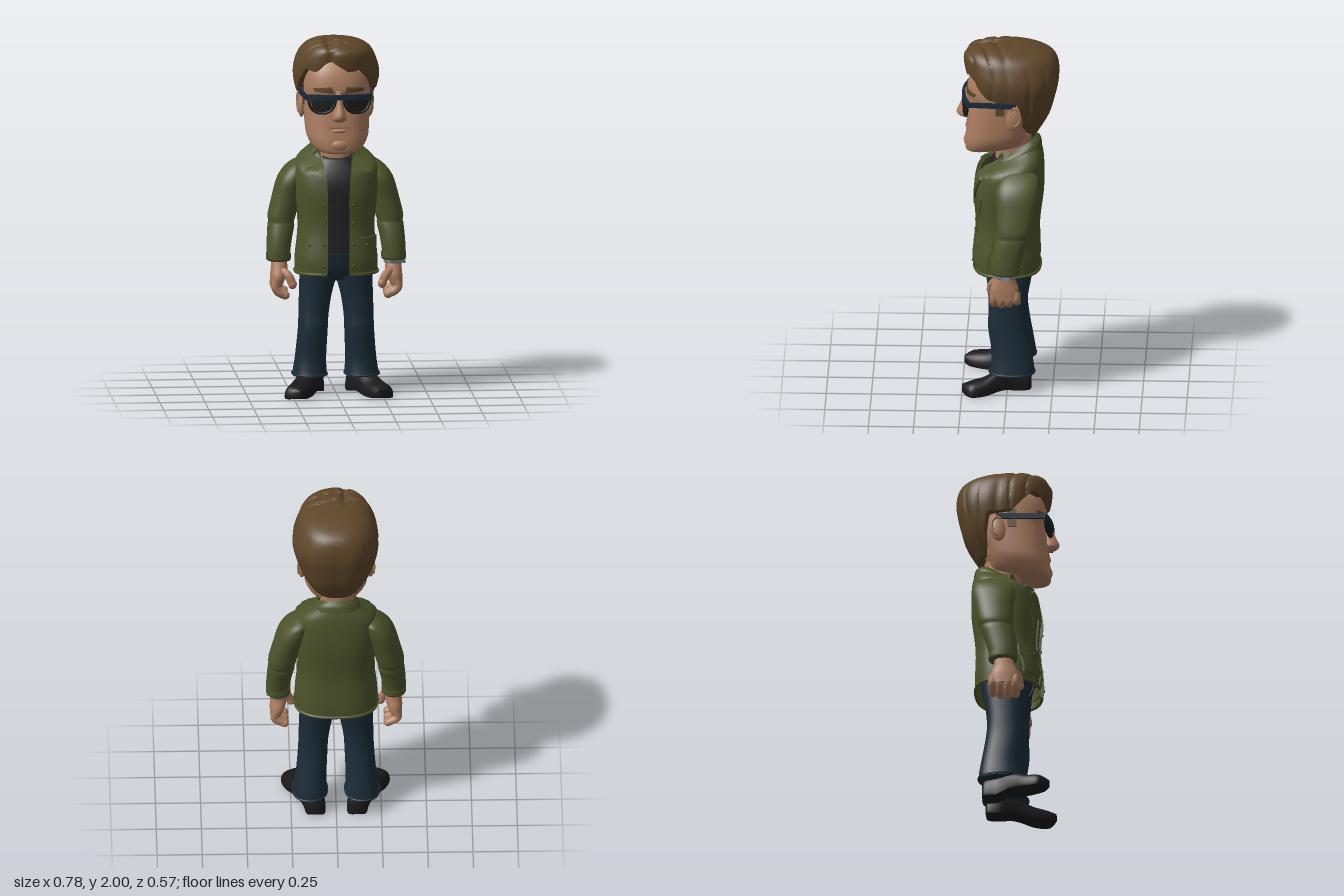
import * as THREE from 'three';
import { toCreasedNormals } from 'three/addons/utils/BufferGeometryUtils.js';

const V = (x, y, z) => new THREE.Vector3(x, y, z);
const mat = (name, color) => Object.assign(new THREE.MeshStandardMaterial({ color }), { name });

// Skin rows of points into a surface (closed rings get end caps).
function grid(rows, closed = true, crease = 0.8) {
  const n = rows[0].length, pos = [], idx = [];
  rows.flat().forEach(p => pos.push(p.x, p.y, p.z));
  for (let i = 0; i < rows.length - 1; i++)
    for (let j = 0; j < (closed ? n : n - 1); j++) {
      const a = i * n + j, b = i * n + (j + 1) % n;
      idx.push(a, b, a + n, b, b + n, a + n);
    }
  if (closed) [0, rows.length - 1].forEach(r => {
    const c = rows[r].reduce((s, p) => s.add(p), V(0, 0, 0)).divideScalar(n), k = pos.length / 3;
    pos.push(c.x, c.y, c.z);
    for (let j = 0; j < n; j++) {
      const a = r * n + j, b = r * n + (j + 1) % n;
      r ? idx.push(k, a, b) : idx.push(k, b, a);
    }
  });
  const g = new THREE.BufferGeometry();
  g.setAttribute('position', new THREE.Float32BufferAttribute(pos, 3));
  g.setIndex(idx);
  return toCreasedNormals(g, crease);
}

// Cross-section: [y, halfWidth, zFront, zBack, backTilt, frontGap, xCentre]
const spow = (v, e) => Math.sign(v) * Math.abs(v) ** e;
function ringPoint([y, rx, zf, zb, tilt = 0, , cx = 0], a, p) {
  const c = spow(Math.cos(a), 2 / p);
  return V(cx + rx * spow(Math.sin(a), 2 / p), y - tilt * c, (zf + zb) / 2 + (zf - zb) / 2 * c);
}
// Smooth in-between sections.
function dense(secs, k = 4) {
  const out = [], at = i => secs[Math.min(Math.max(i, 0), secs.length - 1)];
  for (let i = 0; i < secs.length - 1; i++)
    for (let s = 0; s < k; s++) {
      const t = s / k;
      out.push(secs[i].map((b, c) => {
        const a = at(i - 1)[c], d = at(i + 1)[c], e = at(i + 2)[c];
        return b + 0.5 * t * (d - a + t * (2 * a - 5 * b + 4 * d - e + t * (3 * (b - d) + e - a)));
      }));
    }
  return [...out, secs[secs.length - 1]];
}
function ring(s, p, n) {
  const g = s[5] || 0, a0 = g ? Math.asin((g / s[1]) ** (p / 2)) : 0;
  return Array.from({ length: g ? n + 1 : n }, (_, j) => ringPoint(s, a0 + (2 * Math.PI - 2 * a0) * j / n, p));
}
const loft = (secs, p = 2.4, n = 32) => grid(dense(secs).map(s => ring(s, p, n)), !secs[0][5]);

// Section at a height, and the depth of a loft's front at (x, y).
function lookup(secs, y, key = s => s[0]) {
  if (y <= key(secs[0])) return secs[0];
  const i = secs.findIndex(s => key(s) > y);
  if (i < 0) return secs[secs.length - 1];
  const a = secs[i - 1], b = secs[i], t = (y - key(a)) / (key(b) - key(a));
  return a.map((v, c) => v + (b[c] - v) * t);
}
const frontOf = (secs, p) => (x, y) => {
  const [, rx, zf, zb] = lookup(secs, y, s => s[0] - (s[4] || 0));
  const u = Math.min(Math.abs(x) / rx, 0.97);
  return (zf + zb) / 2 + (zf - zb) / 2 * (1 - u ** p) ** (1 / p);
};
// Quad plate hugging a front surface; corners run counter-clockwise for side +1.
function patch(front, corners, depth, s = 1) {
  let [a, b, c, d] = corners.map(([x, y]) => [x * s, y]);
  if (s < 0) [a, b, c, d] = [b, a, d, c];
  const g = new THREE.BoxGeometry(1, 1, 1, 8, 8, 1), q = g.attributes.position;
  for (let i = 0; i < q.count; i++) {
    const u = q.getX(i) + 0.5, v = q.getY(i) + 0.5;
    const m = k => (a[k] * (1 - u) + b[k] * u) * (1 - v) + (d[k] * (1 - u) + c[k] * u) * v;
    q.setXYZ(i, m(0), m(1), front(m(0), m(1)) + q.getZ(i) * 2 * depth);
  }
  g.computeVertexNormals();
  return g;
}
const rect = (x0, x1, y0, y1) => [[x0, y0], [x1, y0], [x1, y1], [x0, y1]];
const tube = (pts, r, closed = false, n = 24) =>
  new THREE.TubeGeometry(new THREE.CatmullRomCurve3(pts, closed), n, r, 8, closed);

export function createModel() {
  const model = new THREE.Group();
  const skin = mat('skin', 0xac7d60), lip = mat('lip', 0x8f624c), hair = mat('hair', 0x5e4629);
  const olive = mat('olive cloth', 0x4d532c), trim = mat('olive trim', 0x414824);
  const shirt = mat('charcoal cloth', 0x222224), denim = mat('denim', 0x1c2c38);
  const black = mat('black', 0x1a1a1c), frame = mat('navy frame', 0x1b2a39), metal = mat('metal', 0x8b9099);
  olive.side = THREE.DoubleSide;
  const add = (name, geo, m) => {
    const o = new THREE.Mesh(geo, m);
    o.name = name;
    model.add(o);
    return o;
  };
  const ball = (name, m, x, y, z, rx, ry, rz) => {
    const o = add(name, new THREE.SphereGeometry(1, 20, 14), m);
    o.position.set(x, y, z);
    o.scale.set(rx, ry, rz);
    return o;
  };

  // Head and neck
  const headSecs = [[1.39, .09, .215, -.06, .015], [1.405, .135, .236, -.09, .02], [1.46, .168, .238, -.11, .02],
    [1.52, .177, .23, -.13, .01], [1.6, .181, .222, -.16, 0], [1.68, .184, .213, -.18, 0], [1.735, .186, .225, -.19, 0],
    [1.82, .18, .21, -.2, 0], [1.9, .14, .17, -.17, 0]];
  const face = frontOf(dense(headSecs), 2.6);
  add('head', loft(headSecs, 2.6, 40), skin);
  add('neck', loft([[1.25, .1, .08, -.14], [1.36, .088, .07, -.13], [1.48, .095, .08, -.13]]), skin);
  add('nose', loft([[1.557, .022, .245, .17], [1.572, .04, .276, .17], [1.595, .035, .286, .17],
    [1.65, .024, .262, .17], [1.73, .022, .236, .17]], 2, 20), skin);
  add('mouth', patch(face, [[-.06, 1.52], [.06, 1.52], [.056, 1.526], [-.056, 1.526]], .004), lip);
  ball('lowerLip', skin, 0, 1.506, .222, .045, .013, .016);
  ball('chin', skin, 0, 1.425, .215, .06, .038, .032);

  // Hair: swept from a front parting down to a hairline that varies with the angle
  const volume = dense([[1.48, .12, .1, -.165, 0, 0, 0], [1.6, .185, .14, -.235, 0, 0, 0], [1.7, .222, .19, -.267, 0, 0, 0],
    [1.8, .24, .225, -.288, 0, 0, .003], [1.89, .22, .245, -.28, 0, 0, 0], [1.95, .183, .24, -.24, 0, 0, 0],
    [1.985, .12, .18, -.14, 0, 0, -.01], [2.003, .005, 0, -.01, 0, 0, -.05]]);
  const hairline = [[0, 1.9], [9, 1.875], [20, 1.835], [30, 1.84], [38, 1.85], [52, 1.785], [64, 1.725], [98, 1.715], [106, 1.55], [125, 1.5], [180, 1.49]];
  const hairRows = [];
  for (let i = 0; i <= 51; i++) {
    const row = [];
    for (let j = 0; j < 160; j++) {
      const a = (j / 160 * 2 - 1) * Math.PI, t = Math.min(i / 50, 1), swung = a - .1 * (1 + Math.cos(a));
      const low = lookup(hairline, Math.abs(a) * 180 / Math.PI)[1];
      const s = lookup(volume, 2.003 - (2.003 - low) * t ** 1.8), p = ringPoint(s, swung, 2.3);
      const cz = (s[2] + s[3]) / 2, side = Math.abs(p.x + .05);
      const sweep = THREE.MathUtils.smoothstep(p.z, -.06, .06);
      const crease = sweep * (1 - Math.abs(Math.sin(38 * (p.z + .3 * side)))) ** 2;
      const strand = (1 - sweep) * (1 - Math.abs(Math.sin(a * 5 + 1.2 * Math.sin(a * 3)))) ** 2;
      const part = Math.exp(-((side / .022) ** 2)) * THREE.MathUtils.smoothstep(p.z, -.04, .1);
      const fade = THREE.MathUtils.smoothstep(t, .25, .75);
      const k = i > 50 ? .78 : 1 - fade * (.04 * crease + .04 * strand + .05 * part);
      p.set(p.x * k, p.y - (1 - fade) * (.012 * crease + .022 * part), cz + (p.z - cz) * k);
      row.push(p);
    }
    hairRows.unshift(row);
  }
  add('hair', grid(hairRows, true, .6), hair);

  // Ears, brows, sideburns and glasses
  const lensZ = x => .247 - .9 * x * x;
  for (const s of [1, -1]) {
    ball('ear', skin, .19 * s, 1.62, -.04, .022, .075, .043).rotation.x = -.15;
    const rim = add('earRim', new THREE.TorusGeometry(.036, .008, 8, 20), skin);
    rim.position.set(.204 * s, 1.632, -.042);
    rim.rotation.y = Math.PI / 2 - .2 * s;
    rim.scale.set(.85, 1.45, .8);
    add('eyebrow', patch(face, [[.03, 1.716], [.135, 1.725], [.145, 1.742], [.04, 1.752]], .007, s), hair);
    const burn = add('sideburn', new THREE.BoxGeometry(.02, .11, .05), hair);
    burn.position.set(.177 * s, 1.685, .04);
    const outline = [[.026, 1.685], [.04, 1.635], [.072, 1.613], [.125, 1.613], [.157, 1.637], [.168, 1.69], [.1, 1.7]];
    add('lens', patch(lensZ, [[.056, 1.614], [.14, 1.614], [.166, 1.69], [.026, 1.69]], .004, s), black);
    add('lensRim', tube(outline.map(([x, y]) => V(x * s, y, lensZ(x))), .008, true, 40), black);
    const temple = add('temple', new THREE.BoxGeometry(.014, .028, .27), frame);
    temple.position.set(.189 * s, 1.692, .085);
    temple.rotation.y = -.09 * s;
  }
  add('browBar', patch(lensZ, rect(-.184, .184, 1.682, 1.712), .009), frame);

  // Shirt and jacket
  add('shirt', loft([[.76, .19, .145, -.14, 0], [.95, .185, .142, -.14, 0], [1.15, .195, .148, -.16, 0],
    [1.25, .19, .13, -.16, .01], [1.33, .12, .095, -.14, .02], [1.355, .1, .083, -.135, .03]], 2.6), shirt);
  const jacketSecs = [[.69, .228, .185, -.178, 0, .07, 0], [.78, .228, .19, -.18, 0, .068, 0], [.95, .212, .172, -.177, 0, .062, 0],
    [1.13, .23, .182, -.198, 0, .06, 0], [1.25, .235, .163, -.2, 0, .068, 0], [1.31, .215, .135, -.195, .03, .075, 0],
    [1.35, .155, .11, -.18, .05, .08, 0], [1.375, .118, .088, -.165, .06, .082, 0], [1.39, .105, .075, -.155, .06, .08, 0]];
  const coat = frontOf(dense(jacketSecs), 2.6);
  add('jacket', loft(jacketSecs, 2.6, 48), olive);
  add('hemTrim', tube(ring(jacketSecs[0], 2.6, 40), .009, false, 60), olive);
  add('collarStand', loft([[1.352, .142, .1, -.188, .05, .1, 0], [1.38, .128, .085, -.178, .06, .1, 0],
    [1.4, .1, .06, -.152, .06, .085, 0]], 2.4, 40), olive);
  for (const s of [1, -1]) {
    add('placket', patch(coat, rect(.06, .095, .695, 1.1), .009, s), olive);
    add('lapel', patch(coat, [[.058, 1.07], [.15, 1.235], [.12, 1.275], [.078, 1.3]], .012, s), olive);
    add('collarWing', patch(coat, [[.076, 1.295], [.13, 1.262], [.19, 1.262], [.1, 1.385]], .02, s), olive);
    add('pocket', patch(coat, rect(.108, .212, .735, .86), .01, s), olive);
    add('pocketFlap', patch(coat, rect(.11, .218, .835, .895), .017, s), olive);
    add('chestPocket', patch(coat, [[.115, 1.04], [.14, 1.03], [.175, 1.13], [.15, 1.14]], .007, s), olive);
    const spots = [.74, .86, .98, 1.08].map(y => [.08, y, .008]).concat([[.16, .855, .016]]);
    for (const [x, y, lift] of spots) ball('button', trim, x * s, y, coat(x, y) + lift, .009, .009, .007);

    // Sleeves with a crease at the elbow and a sloping shoulder
    add('sleeve', loft([[.76, .064, .078, -.074, 0, 0, .32 * s], [.8, .066, .082, -.078, 0, 0, .321 * s],
      [.88, .07, .075, -.1, 0, 0, .313 * s], [.94, .074, .062, -.122, 0, 0, .304 * s], [.965, .071, .056, -.126, 0, 0, .302 * s],
      [1, .078, .057, -.14, 0, 0, .298 * s], [1.1, .077, .058, -.16, 0, 0, .275 * s], [1.19, .078, .065, -.178, 0, 0, .249 * s],
      [1.245, .07, .05, -.178, 0, 0, .226 * s], [1.285, .05, .02, -.165, 0, 0, .203 * s], [1.31, .025, -.03, -.11, 0, 0, .188 * s]],
    2.3, 28), olive);
    add('cuff', loft([[.75, .062, .076, -.072, 0, 0, .32 * s], [.757, .068, .082, -.078, 0, 0, .32 * s],
      [.79, .069, .083, -.079, 0, 0, .32 * s]], 2.3, 28), olive);

    // Hands
    add('palm', loft([[.605, .032, .08, -.064, 0, 0, .334 * s], [.66, .043, .088, -.068, 0, 0, .324 * s],
      [.71, .046, .072, -.052, 0, 0, .317 * s], [.77, .042, .05, -.045, 0, 0, .318 * s]], 2.4, 24), skin);
    for (let f = 0; f < 4; f++) {
      const z = .07 - f * .042, drop = [.008, 0, .004, .018][f];
      add('finger', tube([V(.335 * s, .65, z), V(.341 * s, .605, z), V(.322 * s, .572 + drop, z), V(.288 * s, .555 + drop, z)], .023, false, 14), skin);
      ball('fingertip', skin, .286 * s, .554 + drop, z, .023, .023, .023);
    }
    add('thumb', tube([V(.305 * s, .7, .05), V(.27 * s, .67, .08), V(.25 * s, .628, .088)], .024, false, 14), skin);
    ball('thumbTip', skin, .249 * s, .626, .088, .024, .027, .024);

    // Trouser legs
    add('trouserLeg', loft([[.1, .095, .1, -.15, 0, 0, .145 * s], [.14, .091, .092, -.148, 0, 0, .143 * s],
      [.22, .085, .088, -.135, 0, 0, .138 * s], [.36, .082, .108, -.112, 0, 0, .129 * s], [.45, .083, .105, -.105, 0, 0, .125 * s],
      [.56, .09, .108, -.115, 0, 0, .115 * s], [.65, .1, .118, -.132, 0, 0, .102 * s], [.74, .1, .125, -.14, 0, 0, .1 * s]], 2.4, 28), denim);
    add('trouserHem', tube(ring([.108, .095, .1, -.15, 0, 0, .145 * s], 2.4, 28), .006, true, 40), denim);

    // Shoes: sections from heel to toe [z, xCentre, halfWidth, height, soleLift]
    const shoe = dense([[-.132, .115, .035, .08, .004], [-.115, .115, .054, .115, 0], [-.05, .122, .06, .135, 0],
      [.0, .145, .06, .13, .012], [.05, .172, .063, .113, .012], [.12, .208, .071, .09, 0], [.19, .234, .068, .076, 0],
      [.225, .232, .046, .06, .004], [.25, .222, .012, .038, .016]]);
    add('shoe', grid(shoe.map(([z, x, w, h, lift]) => Array.from({ length: 24 }, (_, j) => {
      const a = j / 24 * Math.PI * 2, up = Math.sin(a);
      return V(x * s + w * spow(Math.cos(a), .8), lift + (up > 0 ? .015 + (h - .015) * up ** .85 : .015 * (1 - Math.min(1, -up * 3))), z);
    }))), black);
  }

  // Hips, fly and belt loops
  const hipSecs = [[.645, .14, .09, -.11], [.7, .19, .13, -.145], [.8, .195, .152, -.15]];
  const hips = frontOf(dense(hipSecs), 2.5);
  add('hips', loft(hipSecs, 2.5), denim);
  add('waistband', patch(hips, rect(-.09, .09, .765, .8), .008), denim);
  add('fly', patch(hips, rect(-.012, .014, .67, .765), .006), denim);
  for (const x of [-.05, .05]) add('beltLoop', patch(hips, rect(x - .007, x + .007, .755, .802), .013), denim);

  // Wristwatch on the left wrist
  add('watchBand', loft([[.728, .05, .062, -.056, 0, 0, .32], [.735, .055, .067, -.061, 0, 0, .32],
    [.758, .058, .07, -.064, 0, 0, .32], [.768, .055, .067, -.061, 0, 0, .32]], 2.3, 24), metal);
  const dial = add('watchFace', new THREE.CylinderGeometry(.022, .022, .012, 20), metal);
  dial.position.set(.379, .744, .003);
  dial.rotation.z = Math.PI / 2;
  return model;
}
